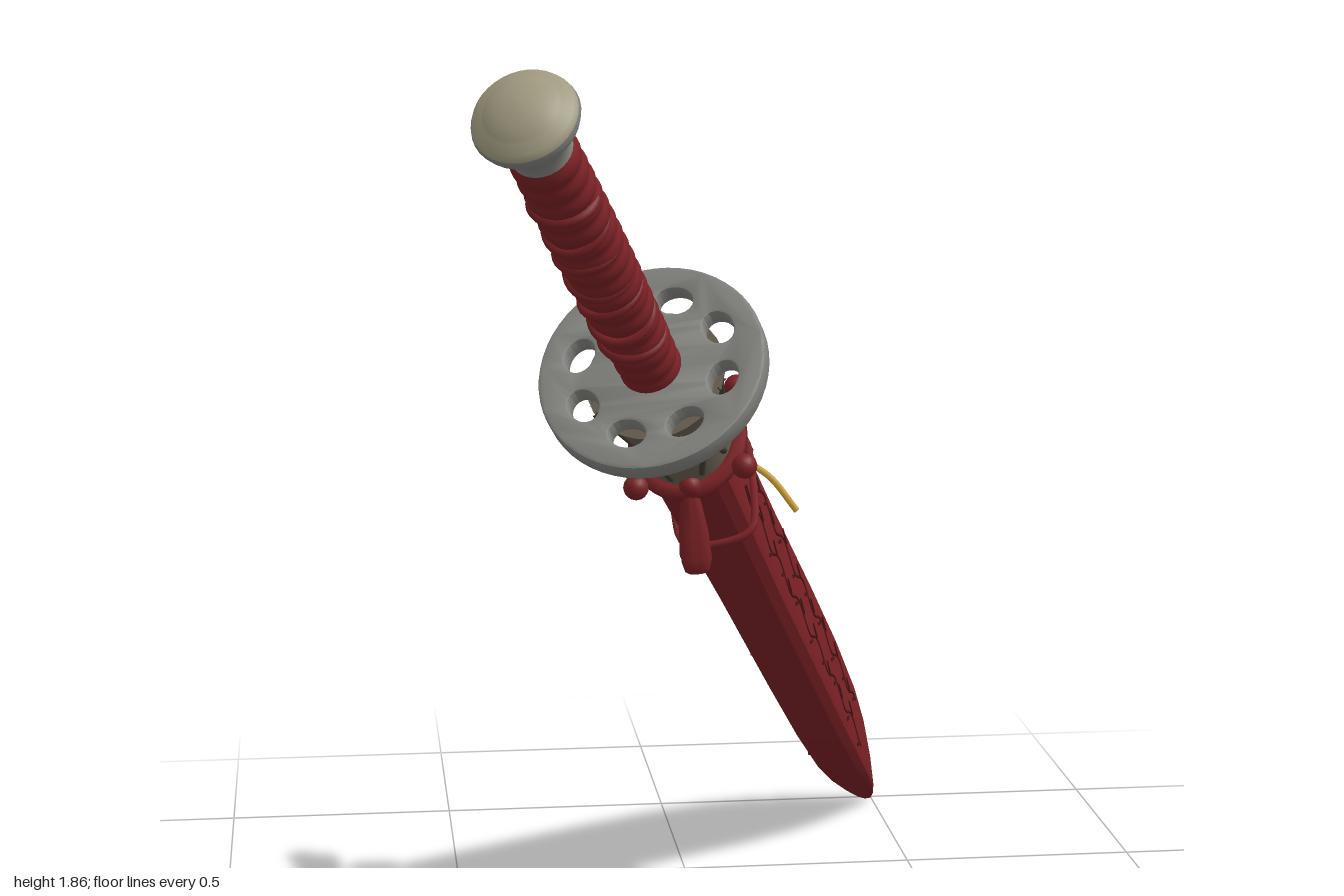
import * as THREE from 'three';
import { toCreasedNormals } from 'three/addons/utils/BufferGeometryUtils.js';

const V = (x, y, z) => new THREE.Vector3(x, y, z);
const mat = (name, color) => {
  const m = new THREE.MeshStandardMaterial({ color });
  m.name = name;
  return m;
};

// Skin a list of closed rings (each point [x, y, z]) running up +Y, with end caps
function loft(rings, crease = 0.6) {
  const n = rings[0].length, pos = [], idx = [];
  rings.forEach(r => r.forEach(p => pos.push(...p)));
  for (let i = 0; i < rings.length - 1; i++) {
    for (let j = 0; j < n; j++) {
      const a = i * n + j, b = i * n + (j + 1) % n;
      idx.push(a, a + n, b + n, a, b + n, b);
    }
  }
  const top = (rings.length - 1) * n;
  for (let j = 1; j < n - 1; j++) {
    idx.push(0, j, j + 1, top, top + j + 1, top + j);
  }
  const g = new THREE.BufferGeometry();
  g.setAttribute('position', new THREE.Float32BufferAttribute(pos, 3));
  g.setIndex(idx);
  return toCreasedNormals(g, crease);
}

const ellipseRing = (y, rx, rz, n = 32) => Array.from({ length: n }, (_, j) => {
  const t = j / n * Math.PI * 2;
  return [rx * Math.cos(t), y, rz * Math.sin(t)];
});

const tube = (pts, r, closed = false, segs = 48) =>
  new THREE.TubeGeometry(new THREE.CatmullRomCurve3(pts, closed), segs, r, 6, closed);

export function createModel() {
  const red = mat('deep red', 0x7a2125);
  const darkRed = mat('carved dark red', 0x4a1417);
  const grey = mat('steel grey', 0x82827e);
  const bronze = mat('aged bronze', 0x675e50);
  const darkBronze = mat('dark bronze', 0x403a31);
  const beige = mat('pale cap', 0xa09a80);
  const gold = mat('gold', 0xd0a139);

  const model = new THREE.Group();
  model.name = 'sheathedDagger';
  const add = (parent, name, geo, m) => {
    const mesh = new THREE.Mesh(geo, m);
    mesh.name = name;
    parent.add(mesh);
    return mesh;
  };

  // Dagger frame: local Y runs from the tip to the pommel, X is the flat face normal
  const tip = V(0.49, 0.01, -0.99);
  const axis = V(-0.92, 1.78, 1.95).normalize();
  const side = V(1, 0, 0).addScaledVector(axis, -axis.x).normalize();
  const dagger = new THREE.Group();
  dagger.name = 'dagger';
  dagger.applyMatrix4(new THREE.Matrix4()
    .makeBasis(side, axis, side.clone().cross(axis)).setPosition(tip));
  model.add(dagger);

  // Scabbard: station, half thickness, upper edge, lower edge
  const stations = [
    [0, 0.01, 0.012, 0.012], [0.03, 0.02, 0.03, 0.02], [0.1, 0.034, 0.066, 0.036],
    [0.22, 0.047, 0.112, 0.066], [0.35, 0.055, 0.14, 0.09], [0.55, 0.06, 0.153, 0.105],
    [0.8, 0.063, 0.15, 0.11], [1.2, 0.066, 0.135, 0.112], [1.72, 0.076, 0.11, 0.11],
  ];
  const section = ([y, a, up, dn]) => [
    [a, y, -up * 0.72], [a, y, dn * 0.72], [a * 0.9, y, dn * 0.87], [a * 0.6, y, dn],
    [-a * 0.6, y, dn], [-a * 0.9, y, dn * 0.87], [-a, y, dn * 0.72], [-a, y, -up * 0.72],
    [-a * 0.9, y, -up * 0.87], [-a * 0.6, y, -up], [a * 0.6, y, -up], [a * 0.9, y, -up * 0.87],
  ];
  add(dagger, 'scabbard', loft(stations.map(section), 0.45), red);
  const thickness = y => {
    const i = Math.max(1, stations.findIndex(s => s[0] >= y));
    const [p, q] = [stations[i - 1], stations[i]];
    return THREE.MathUtils.mapLinear(y, p[0], q[0], p[1], q[1]);
  };

  // Carved vines with short leaves on both flat faces
  for (const sx of [1, -1]) {
    for (const row of [-0.055, 0.035]) {
      const pts = [];
      for (let i = 0; i <= 36; i++) {
        const y = 0.36 + i * 0.033;
        const z = row + 0.016 * Math.sin(i * 1.1 + row * 40);
        pts.push(V(sx * (thickness(y) - 0.001), y, z));
        if (i % 2) {
          const leaf = add(dagger, 'carvedLeaf', new THREE.BoxGeometry(0.005, 0.035, 0.007), darkRed);
          leaf.position.set(sx * thickness(y), y, z + (i % 4 === 1 ? 0.016 : -0.016));
          leaf.rotation.x = i % 4 === 1 ? 0.6 : -0.6;
        }
      }
      add(dagger, 'carvedVine', tube(pts, 0.0035, false, 120), darkRed);
    }
  }

  // Flared throat between scabbard and guard, with raised scrolls
  const throat = [[1.68, 0.092, 0.112], [1.74, 0.095, 0.11], [1.82, 0.1, 0.11],
    [1.89, 0.114, 0.12], [1.945, 0.135, 0.138]];
  add(dagger, 'throat', loft(throat.map(t => ellipseRing(...t)), 0.8), bronze);
  for (let k = 0; k < 10; k++) {
    const pts = throat.slice(1).map(([y, rx, rz], i) => {
      const t = k * Math.PI / 5 + (k % 2 ? 1 : -1) * 0.22 * Math.sin(i * 1.6);
      return V(rx * Math.cos(t), y, rz * Math.sin(t));
    });
    add(dagger, 'throatScroll', tube(pts, 0.007, false, 16), darkBronze);
  }

  // Pierced round guard
  const disc = new THREE.Shape();
  disc.absarc(0, 0, 0.214, 0, Math.PI * 2);
  for (let k = 0; k < 8; k++) {
    const t = (k + 0.5) * Math.PI / 4;
    const hole = new THREE.Path();
    hole.absellipse(0.146 * Math.cos(t), 0.146 * Math.sin(t), 0.034, 0.042, 0, Math.PI * 2, true, t);
    disc.holes.push(hole);
  }
  const guard = new THREE.ExtrudeGeometry(disc, {
    depth: 0.03, bevelSize: 0.006, bevelThickness: 0.006, bevelSegments: 2, curveSegments: 28,
  });
  guard.rotateX(-Math.PI / 2).translate(0, 1.945, 0);
  add(dagger, 'guard', toCreasedNormals(guard, 0.6), grey);

  // Cord-wrapped grip
  const wraps = 17, gripProfile = [];
  for (let i = 0; i <= wraps * 6; i++) {
    const t = i / (wraps * 6);
    const r = 0.052 + 0.007 * Math.sin(t * Math.PI * 0.8) + 0.007 * Math.abs(Math.sin(t * wraps * Math.PI));
    gripProfile.push(new THREE.Vector2(r, 1.96 + t * 0.73));
  }
  add(dagger, 'grip', new THREE.LatheGeometry(gripProfile, 28), red);
  for (let k = 0; k < 7; k++) {
    const wrap = add(dagger, 'gripCord', new THREE.TorusGeometry(0.056, 0.011, 8, 28), red);
    wrap.position.set(-0.003, 2.1 + k * 0.075, 0.004);
    wrap.rotation.set(Math.PI / 2 + (k % 2 ? 0.2 : -0.15), k % 3 * 0.12 - 0.1, 0);
  }

  // Flared pommel and domed cap
  const lathe = pts => new THREE.LatheGeometry(pts.map(p => new THREE.Vector2(...p)), 36);
  add(dagger, 'pommel', lathe([[0, 2.66], [0.058, 2.66], [0.06, 2.68], [0.052, 2.69], [0.056, 2.715],
    [0.07, 2.745], [0.09, 2.765], [0.096, 2.78], [0.092, 2.792]]), grey);
  add(dagger, 'pommelCap', lathe([[0.094, 2.788], [0.088, 2.8], [0.07, 2.806], [0.066, 2.812],
    [0.045, 2.822], [0.02, 2.828], [0, 2.829]]), beige);

  // Thick cord with corner knots around the scabbard mouth
  const cordLoop = (y, rx, rz) => ellipseRing(y, rx, rz, 16).map(p => V(...p));
  add(dagger, 'mouthCord', tube(cordLoop(1.705, 0.102, 0.118), 0.018, true), red);
  add(dagger, 'mouthCordLower', tube(cordLoop(1.68, 0.092, 0.112), 0.011, true), red);
  for (const sx of [1, -1]) {
    for (const sz of [1, -1]) {
      const knot = add(dagger, 'mouthKnot', new THREE.SphereGeometry(0.025, 14, 10), red);
      knot.position.set(sx * 0.108, 1.712, sz * 0.09);
    }
  }
  // Thin cord holding the bow
  add(dagger, 'bowCord', tube(section([1.5, 0.078, 0.126, 0.12]).map(p => V(...p)), 0.008, true), red);

  // Flat flared ribbon from a to b, facing along the given normal
  const ribbon = (name, a, b, width, thick, normal, m) => {
    const dir = b.clone().sub(a), len = dir.length();
    dir.normalize();
    const nz = normal.clone().addScaledVector(dir, -normal.dot(dir)).normalize();
    const rings = [[0, 0.25], [0.25, 0.6], [0.55, 0.9], [0.85, 1], [0.97, 0.8], [1, 0.5]]
      .map(([t, k]) => ellipseRing(t * len, width * k / 2, thick * k / 2, 14));
    const geo = loft(rings, 0.9);
    geo.applyMatrix4(new THREE.Matrix4().makeBasis(dir.clone().cross(nz), dir, nz).setPosition(a));
    return add(model, name, geo, m);
  };

  // Gold bow on the upper edge
  ribbon('bowLoopOuter', V(-0.02, 1.08, -0.02), V(-0.085, 1.045, -0.235), 0.1, 0.03, V(0.75, 0.65, 0), gold);
  ribbon('bowLoopInner', V(0, 1.07, -0.01), V(0.015, 0.965, -0.185), 0.1, 0.045, V(0.1, 0.74, -0.67), gold);
  for (const off of [-0.022, 0, 0.022]) {
    add(model, 'bowPleat', tube([V(off * 0.5, 1.07, -0.03), V(0.008 + off, 1.037, -0.11),
      V(0.015 + off, 0.985, -0.183)], 0.006, false, 12), gold);
  }
  add(model, 'bowStrand', tube([V(0.01, 1.06, -0.03), V(0.07, 1.0, -0.1), V(0.13, 0.96, -0.09),
    V(0.185, 0.89, -0.08)], 0.007, false, 20), gold);
  const bowKnot = add(model, 'bowKnot', new THREE.SphereGeometry(0.024, 14, 10), red);
  bowKnot.position.set(-0.01, 1.075, -0.005);
  for (const sx of [1, -1]) {
    add(model, 'bowCordEnd', tube([V(-0.01, 1.075, 0), V(-0.01 + sx * 0.05, 1.07, 0.01),
      V(-0.01 + sx * 0.09, 1.03, 0.0)], 0.007, false, 14), red);
  }

  // Red tassel hanging below the mouth
  ribbon('tassel', V(-0.075, 1.03, 0.285), V(-0.06, 0.845, 0.278), 0.06, 0.022, V(0, 0, 1), red);
  add(model, 'tasselStrand', tube([V(-0.08, 1.03, 0.28), V(-0.085, 0.95, 0.245),
    V(-0.08, 0.865, 0.215)], 0.008, false, 16), red);
  const tasselKnot = add(model, 'tasselKnot', new THREE.SphereGeometry(0.022, 14, 10), red);
  tasselKnot.position.set(-0.075, 1.02, 0.285);

  return model;
}
